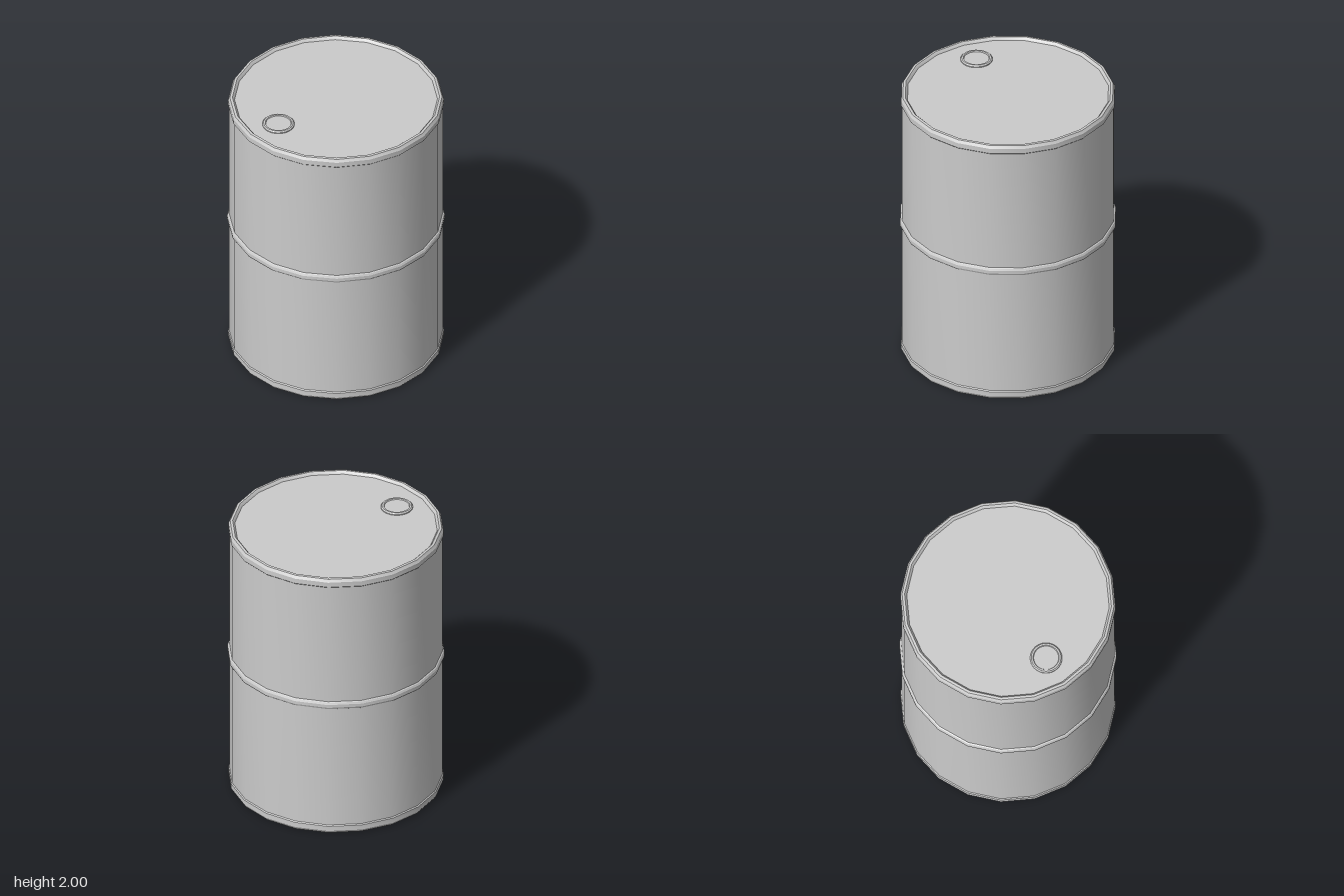
import * as THREE from 'three';
import { toCreasedNormals } from 'three/addons/utils/BufferGeometryUtils.js';

const SIDES = 20;

export function createModel() {
  const model = new THREE.Group();
  model.name = 'drum';
  const material = new THREE.MeshStandardMaterial({ color: 0xcccccc });

  // Turns a profile of [radius, height] points, listed so the outside faces outward
  const turn = (name, profile, sides = SIDES) => {
    const points = profile.map(([r, y]) => new THREE.Vector2(r, y));
    const geometry = toCreasedNormals(new THREE.LatheGeometry(points, sides), 0.42);
    const mesh = new THREE.Mesh(geometry, material);
    mesh.name = name;
    model.add(mesh);
    return mesh;
  };

  // Wall of the barrel
  turn('body', [[0.72, 0.04], [0.72, 1.96]]);

  // Rolled rims: bevelled outside, sloping inside down to the recessed end
  const rim = [[0.717, 0.068], [0.727, 0.058], [0.727, 0.022], [0.715, 0.002], [0.71, 0], [0.698, 0], [0.69, 0.008], [0.682, 0.022]];
  turn('bottomRim', [...rim].reverse());
  turn('topRim', rim.map(([r, y]) => [r, 2 - y]));

  // Raised hoop around the middle
  turn('middleHoop', [[0.715, 0.975], [0.728, 0.983], [0.734, 0.996], [0.734, 1.018], [0.728, 1.031], [0.715, 1.039]]);

  // Flat ends
  turn('lid', [[0.685, 1.98], [0, 1.98]]);
  turn('base', [[0, 0.015], [0.688, 0.015]]);

  // Filler cap near the front of the lid
  const cap = turn('fillerCap', [[0.108, 0], [0.108, 0.008], [0.1, 0.016], [0.088, 0.016], [0.084, 0.009], [0, 0.009]], 32);
  cap.position.set(0, 1.979, 0.482);

  return model;
}
